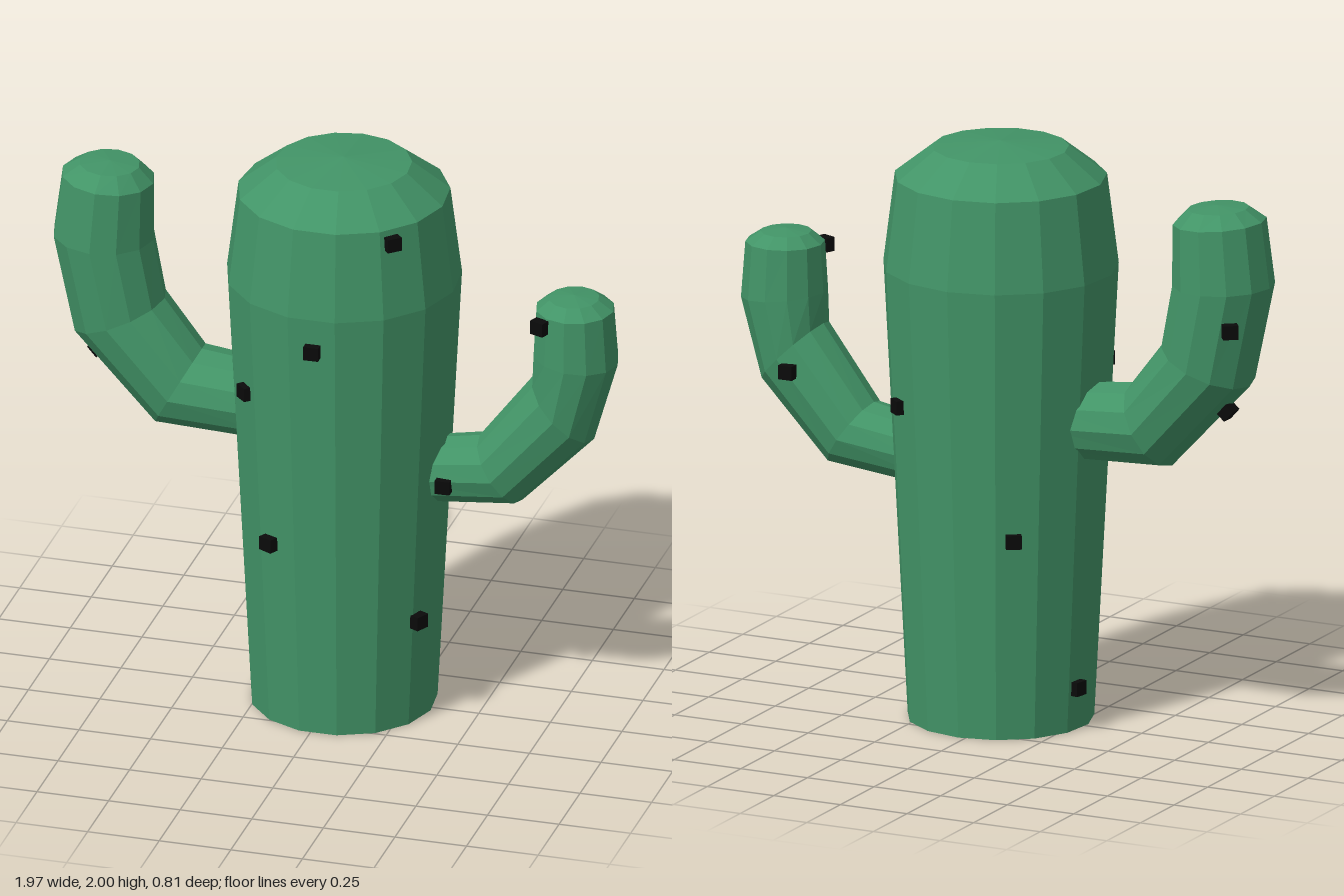
import * as THREE from 'three';

const ZC = -0.01; // depth of the arm and trunk axes
const green = new THREE.MeshStandardMaterial({ color: 0x429467, flatShading: true });
const black = new THREE.MeshStandardMaterial({ color: 0x0a0a0a, flatShading: true });

// Arm lofted through rings: [outer x, outer y, inner x, inner y, half depth]
function makeArm(name, rings, side) {
  const n = 12, pos = [], index = [];
  for (const [ox, oy, ix, iy, d] of rings) {
    for (let j = 0; j < n; j++) {
      const a = (j / n) * Math.PI * 2, c = Math.cos(a) / 2;
      pos.push((ox + ix) / 2 + (ox - ix) * c, (oy + iy) / 2 + (oy - iy) * c, ZC - side * d * Math.sin(a));
    }
  }
  for (let i = 0; i < rings.length - 1; i++) {
    for (let j = 0; j < n; j++) {
      const k = (j + 1) % n, a = i * n + j, b = i * n + k;
      index.push(a, b, b + n);
      if (i < rings.length - 2) index.push(a, b + n, a + n); // last ring is the pole
    }
  }
  const geo = new THREE.BufferGeometry();
  geo.setAttribute('position', new THREE.Float32BufferAttribute(pos, 3));
  geo.setIndex(index);
  geo.computeVertexNormals();
  const mesh = new THREE.Mesh(geo, green);
  mesh.name = name;
  return mesh;
}

export function createModel() {
  const group = new THREE.Group();
  group.name = 'cactus';

  // Tapered trunk with a shallow dome and a flat base
  const profile = [[0, 0], [0.315, 0], [0.397, 1.57], [0.358, 1.88], [0.23, 1.98], [0, 2]];
  const trunk = new THREE.Mesh(
    new THREE.LatheGeometry(profile.map(([r, y]) => new THREE.Vector2(r, y)), 15, Math.PI), green);
  trunk.position.set(0.025, 0, ZC);
  trunk.name = 'trunk';
  group.add(trunk);

  // Taller arm on the right, shorter arm on the left
  group.add(makeArm('rightArm', [
    [-0.2, 0.93, -0.2, 1.19, 0.14],
    [-0.62, 0.95, -0.47, 1.22, 0.158],
    [-0.91, 1.26, -0.6, 1.39, 0.168],
    [-0.985, 1.61, -0.64, 1.6, 0.174],
    [-0.955, 1.835, -0.64, 1.81, 0.16],
    [-0.895, 1.873, -0.69, 1.863, 0.105],
    [-0.79, 1.877, -0.79, 1.877, 0],
  ], -1));
  group.add(makeArm('leftArm', [
    [0.25, 0.765, 0.25, 0.985, 0.112],
    [0.65, 0.81, 0.5, 1.03, 0.132],
    [0.9, 1.07, 0.69, 1.28, 0.142],
    [0.982, 1.355, 0.69, 1.385, 0.147],
    [0.967, 1.55, 0.7, 1.55, 0.135],
    [0.915, 1.585, 0.745, 1.585, 0.09],
    [0.83, 1.595, 0.83, 1.595, 0],
  ], 1));

  // Spines: position, then outward direction (away from the trunk axis if omitted)
  const spines = [
    [0.275, 1.835, 0.26], [0.03, 1.455, 0.385], [-0.24, 1.215, 0.26],
    [-0.145, 0.685, 0.305], [0.335, 0.39, 0.15], [-0.295, 0.15, -0.07],
    [-0.17, 0.7, -0.3], [0.265, 1.115, -0.295],
    [0.41, 0.885, 0.115, 0, 0, 1], [0.745, 1.52, 0.115, -0.4, 0, 1],
    [0.75, 1.14, -0.16, 0, 0, -1],
    [-0.84, 1.17, -0.03, -0.75, -0.66, 0], [-0.915, 1.49, -0.165, -0.6, 0, -0.8],
  ];
  const spineGeo = new THREE.BoxGeometry(0.052, 0.048, 0.036);
  spines.forEach(([x, y, z, dx = x - 0.025, dy = 0, dz = z - ZC], i) => {
    const spine = new THREE.Mesh(spineGeo, black);
    spine.position.set(x, y, z);
    spine.lookAt(x + dx, y + dy, z + dz);
    spine.name = `spine${i + 1}`;
    group.add(spine);
  });
  return group;
}
